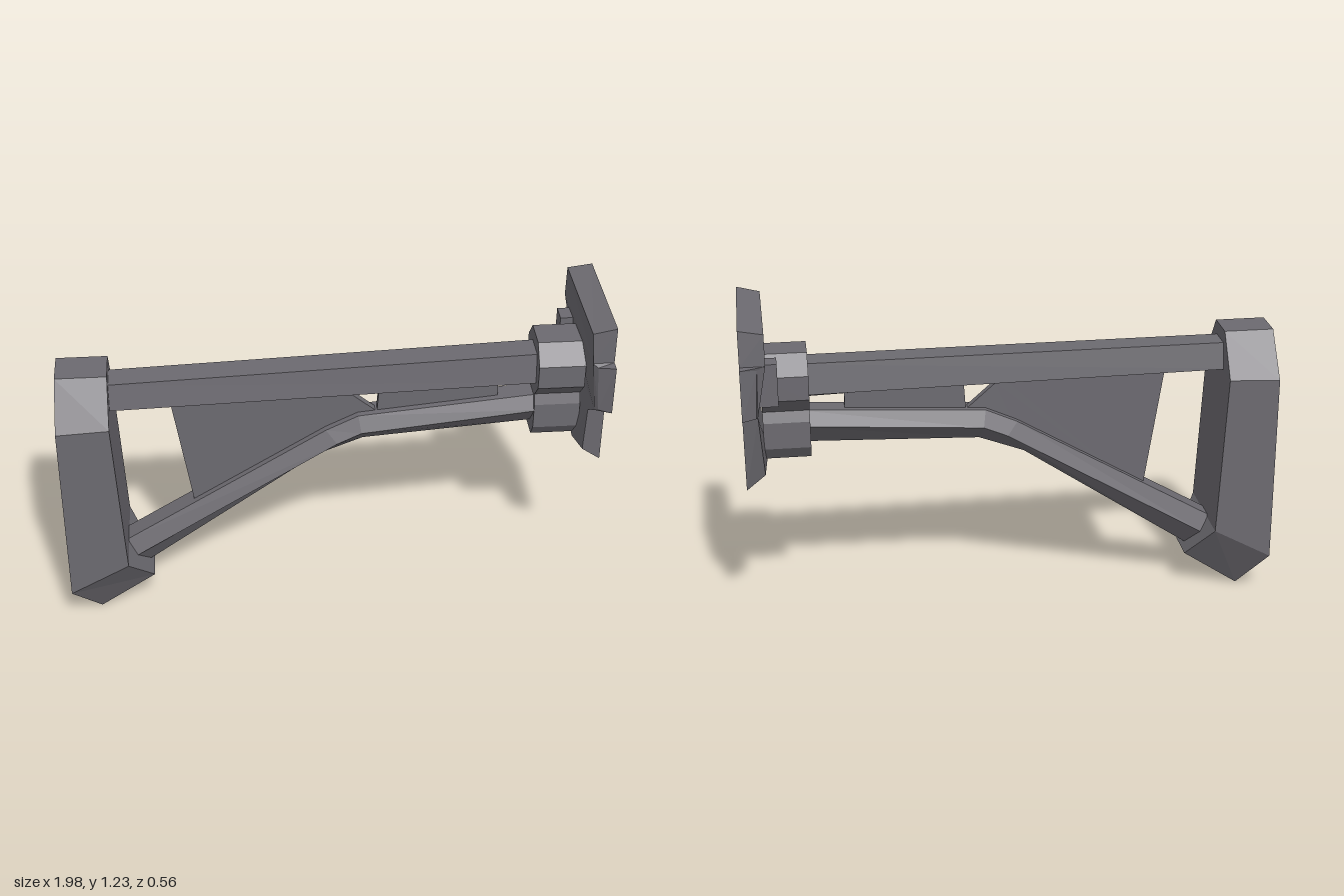
import * as THREE from 'three';

const grey = new THREE.MeshStandardMaterial({ color: 0x6c6a70, flatShading: true });
grey.name = 'gunmetalGrey';

// Closed faceted loft through rings of [x, y, z]; caps are triangulated along the dropped axis.
function loft(name, rings, drop) {
  const n = rings[0].length;
  const tris = [];
  const axes = [0, 1, 2].filter((a) => a !== drop);
  for (let r = 0; r < rings.length - 1; r++) {
    for (let i = 0; i < n; i++) {
      const j = (i + 1) % n;
      const a = rings[r][i], b = rings[r][j], c = rings[r + 1][j], d = rings[r + 1][i];
      tris.push([a, b, c], [a, c, d]);
    }
  }
  const cap = (ring, last) => {
    const flat = ring.map((p) => new THREE.Vector2(p[axes[0]], p[axes[1]]));
    const sign = Math.sign(THREE.ShapeUtils.area(flat));
    for (const t of THREE.ShapeUtils.triangulateShape(flat.slice(), [])) {
      const same = Math.sign(THREE.ShapeUtils.area(t.map((k) => flat[k]))) === sign;
      const [a, b, c] = t.map((k) => ring[k]);
      tris.push(same === last ? [a, b, c] : [a, c, b]);
    }
  };
  cap(rings[0], false);
  cap(rings[rings.length - 1], true);

  // Turn the faces outward
  const v = (p) => new THREE.Vector3(...p);
  const volume = tris.reduce((s, [a, b, c]) => s + v(a).dot(v(b).cross(v(c))), 0);
  const points = tris.flatMap(([a, b, c]) => (volume < 0 ? [a, c, b] : [a, b, c])).flat();
  const g = new THREE.BufferGeometry();
  g.setAttribute('position', new THREE.Float32BufferAttribute(points, 3));
  g.computeVertexNormals();
  const mesh = new THREE.Mesh(g, grey);
  mesh.name = name;
  return mesh;
}

// The frame is slightly skewed: its centre line drifts in z along x
const midZ = (x) => 0.036 - 0.036 * x;

// Thin upright panel between the two bars
function panel(name, outline, half) {
  const side = (s) => outline.map(([x, y]) => [x, y, midZ(x) + s * half]);
  return loft(name, [side(-1), side(1)], 2);
}

export function createModel() {
  const model = new THREE.Group();
  model.name = 'shoulderFrame';

  // Tall end pad, one four-cornered ring per height: outer x, y, inner x, y, z range
  const padRings = [
    [-0.89, 0.0, -0.68, 0.14, 0.0, 0.14],
    [-0.99, 0.16, -0.77, 0.28, -0.11, 0.255],
    [-0.99, 0.885, -0.8, 0.895, -0.11, 0.25],
    [-0.985, 1.05, -0.8, 1.05, 0.0, 0.135],
  ].map(([xo, yo, xi, yi, z0, z1]) => [[xo, yo, z1], [xo, yo, z0], [xi, yi, z0], [xi, yi, z1]]);
  model.add(loft('endPad', padRings, 1));

  // Upper bar: narrower on top, shallow keel underneath
  const upper = [[-0.85, 1.0, 0.9, 0.895], [0.8, 1.02, 0.905, 0.875]].map(([x, top, low, keel]) => {
    const z = midZ(x);
    return [[x, top, z - 0.05], [x, top, z + 0.05], [x, low, z + 0.067], [x, keel, z], [x, low, z - 0.067]];
  });
  model.add(loft('upperBar', upper, 0));

  // Lower bar, bent in the middle: top, shoulder and keel points as [x, y]
  const lower = [
    [[-0.79, 0.28], [-0.75, 0.225], [-0.7, 0.155]],
    [[-0.02, 0.735], [0.02, 0.69], [-0.05, 0.6]],
    [[0.1, 0.79], [0.11, 0.73], [0.12, 0.665]],
    [[0.8, 0.84], [0.8, 0.785], [0.8, 0.7]],
  ].map(([t, s, k]) => {
    const z = midZ(t[0]);
    return [[...t, z - 0.04], [...t, z + 0.04], [...s, z + 0.068], [...k, z], [...s, z - 0.068]];
  });
  model.add(loft('lowerBar', lower, 0));

  // Web panels
  model.add(panel('mainWeb', [[-0.59, 0.92], [0.05, 0.92], [0.06, 0.885], [0.17, 0.79],
    [0.1, 0.76], [-0.02, 0.69], [-0.51, 0.4]], 0.015));
  model.add(panel('smallWeb', [[0.18, 0.92], [0.62, 0.92], [0.62, 0.8], [0.17, 0.77]], 0.015));

  // Double collar holding both bars, profile as [z, y] on one side
  const half = [[0.06, 1.07], [0.12, 1.0], [0.12, 0.91], [0.065, 0.85], [0.08, 0.81], [0.08, 0.71], [0.045, 0.66]];
  const profile = [...half, ...half.slice().reverse().map(([z, y]) => [-z, y])];
  const collar = [0.75, 0.92].map((x) => profile.map(([z, y]) => [x, y, z]));
  model.add(loft('doubleCollar', collar, 0));

  // Small lug beside the collar
  const lug = new THREE.Mesh(new THREE.BoxGeometry(0.07, 0.16, 0.07), grey);
  lug.name = 'sideLug';
  lug.position.set(0.895, 0.99, -0.135);
  model.add(lug);

  // Mounting plate with side ears; rows are [z, y] outer then [x, z, y] inner
  const plate = [
    [0.24, 1.23, 0.905, 0.235, 1.21], [-0.23, 1.22, 0.9, -0.235, 1.205],
    [-0.24, 1.09, 0.9, -0.24, 1.09], [-0.28, 1.09, 0.93, -0.25, 1.08],
    [-0.28, 0.9, 0.94, -0.25, 0.9], [-0.225, 0.9, 0.935, -0.22, 0.89],
    [-0.165, 0.59, 0.92, -0.15, 0.64], [0.06, 0.575, 0.905, 0.06, 0.65],
    [0.17, 0.62, 0.925, 0.16, 0.66], [0.17, 0.85, 0.93, 0.165, 0.84],
    [0.25, 0.9, 0.935, 0.24, 0.89], [0.28, 0.9, 0.945, 0.255, 0.9],
    [0.28, 1.09, 0.93, 0.255, 1.08], [0.24, 1.09, 0.915, 0.24, 1.09],
  ];
  const outer = plate.map(([z, y]) => [0.99, y, z]);
  const inner = plate.map(([, , x, z, y]) => [x, y, z]);
  model.add(loft('mountingPlate', [inner, outer], 0));

  return model;
}
